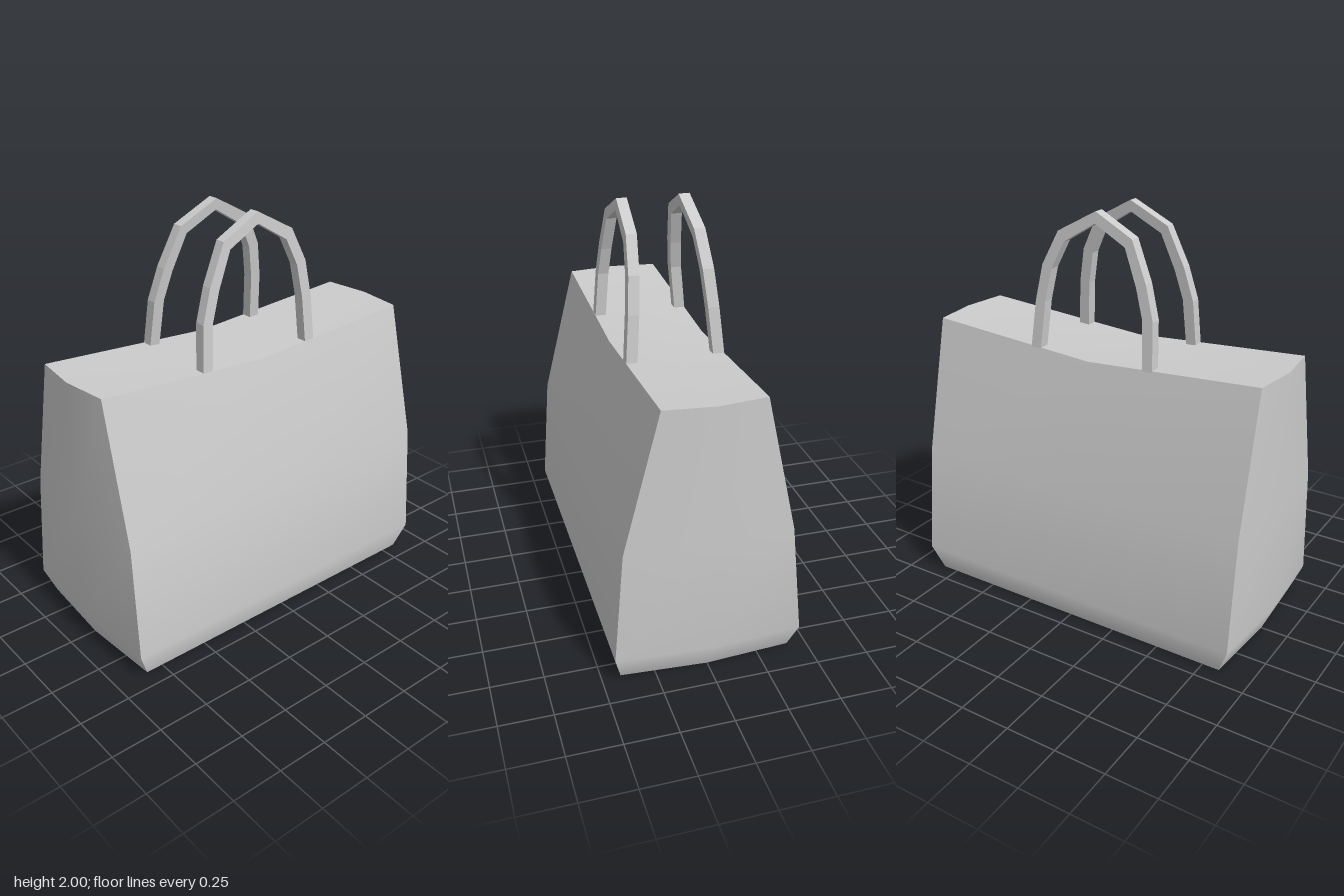
import * as THREE from 'three';

const material = new THREE.MeshStandardMaterial({ color: 0xcccccc });

// Surface through rows of points; rows run upward, points run left to right as seen from outside
function panel(name, rows) {
  const cols = rows[0].length;
  const index = [];
  for (let r = 0; r < rows.length - 1; r++) {
    for (let c = 0; c < cols - 1; c++) {
      const a = r * cols + c, b = a + 1, d = a + cols, e = d + 1;
      index.push(a, b, e, a, e, d);
    }
  }
  const geometry = new THREE.BufferGeometry();
  geometry.setAttribute('position', new THREE.Float32BufferAttribute(rows.flat(2), 3));
  geometry.setIndex(index);
  geometry.computeVertexNormals();
  const mesh = new THREE.Mesh(geometry, material);
  mesh.name = name;
  return mesh;
}

// Flat strap arch whose depth follows a rule of height
function handle(name, zRange) {
  const outer = [[-0.35, 1.32], [-0.335, 1.55], [-0.287, 1.71], [-0.2, 1.9], [0, 2],
    [0.2, 1.89], [0.28, 1.725], [0.31, 1.55], [0.325, 1.32]];
  const inner = [[-0.297, 1.32], [-0.28, 1.55], [-0.237, 1.69], [-0.165, 1.86], [0, 1.945],
    [0.165, 1.843], [0.227, 1.71], [0.255, 1.55], [0.27, 1.32]];
  const points = [...outer, ...inner.reverse()].map(([x, y]) => new THREE.Vector2(x, y));
  const geometry = new THREE.ExtrudeGeometry(new THREE.Shape(points), { depth: 1, bevelEnabled: false });
  const pos = geometry.attributes.position;
  for (let i = 0; i < pos.count; i++) {
    const [back, front] = zRange((pos.getY(i) - 1.32) / 0.68);
    pos.setZ(i, THREE.MathUtils.lerp(back, front, pos.getZ(i)));
  }
  geometry.computeVertexNormals();
  const mesh = new THREE.Mesh(geometry, material);
  mesh.name = name;
  return mesh;
}

export function createModel() {
  const bag = new THREE.Group();
  bag.name = 'toteBag';

  // Body levels: height, height at middle, corner x, side bulge x, front z, back z
  const levels = [
    [0, 0, 0.835, 0.862, 0.41, -0.41],
    [0.13, 0.13, 0.888, 0.915, 0.445, -0.445],
    [0.69, 0.69, 0.888, 0.915, 0.403, -0.385],
    [1.365, 1.305, 0.888, 0.915, 0.235, -0.232],
  ];
  const front = ([y, m, c, , f]) => [[-c, y, f], [0, m, f], [c, y, f]];
  const back = ([y, m, c, , , b]) => [[c, y, b], [0, m, b], [-c, y, b]];
  const left = ([y, , c, s, f, b]) => [[c, y, f], [s, y, 0], [c, y, b]];
  const right = ([y, , c, s, f, b]) => [[-c, y, b], [-s, y, 0], [-c, y, f]];
  const middle = ([y, m, , s]) => [[-s, y, 0], [0, m, 0], [s, y, 0]];
  const flip = (row) => [...row].reverse();

  const body = new THREE.Group();
  body.name = 'body';
  const base = levels[0], rim = levels[3];
  body.add(
    panel('frontPanel', levels.map(front)),
    panel('backPanel', levels.map(back)),
    panel('leftPanel', levels.map(left)),
    panel('rightPanel', levels.map(right)),
    panel('topPanel', [front(rim), middle(rim), flip(back(rim))]),
    panel('bottomPanel', [flip(back(base)), middle(base), front(base)]),
  );
  bag.add(body);

  // Handles lean inward as they rise
  bag.add(
    handle('frontHandle', (t) => [0.182 - 0.042 * t, 0.235 - 0.045 * t]),
    handle('backHandle', (t) => [-0.234 + 0.076 * t, -0.18 + 0.075 * t]),
  );
  return bag;
}
